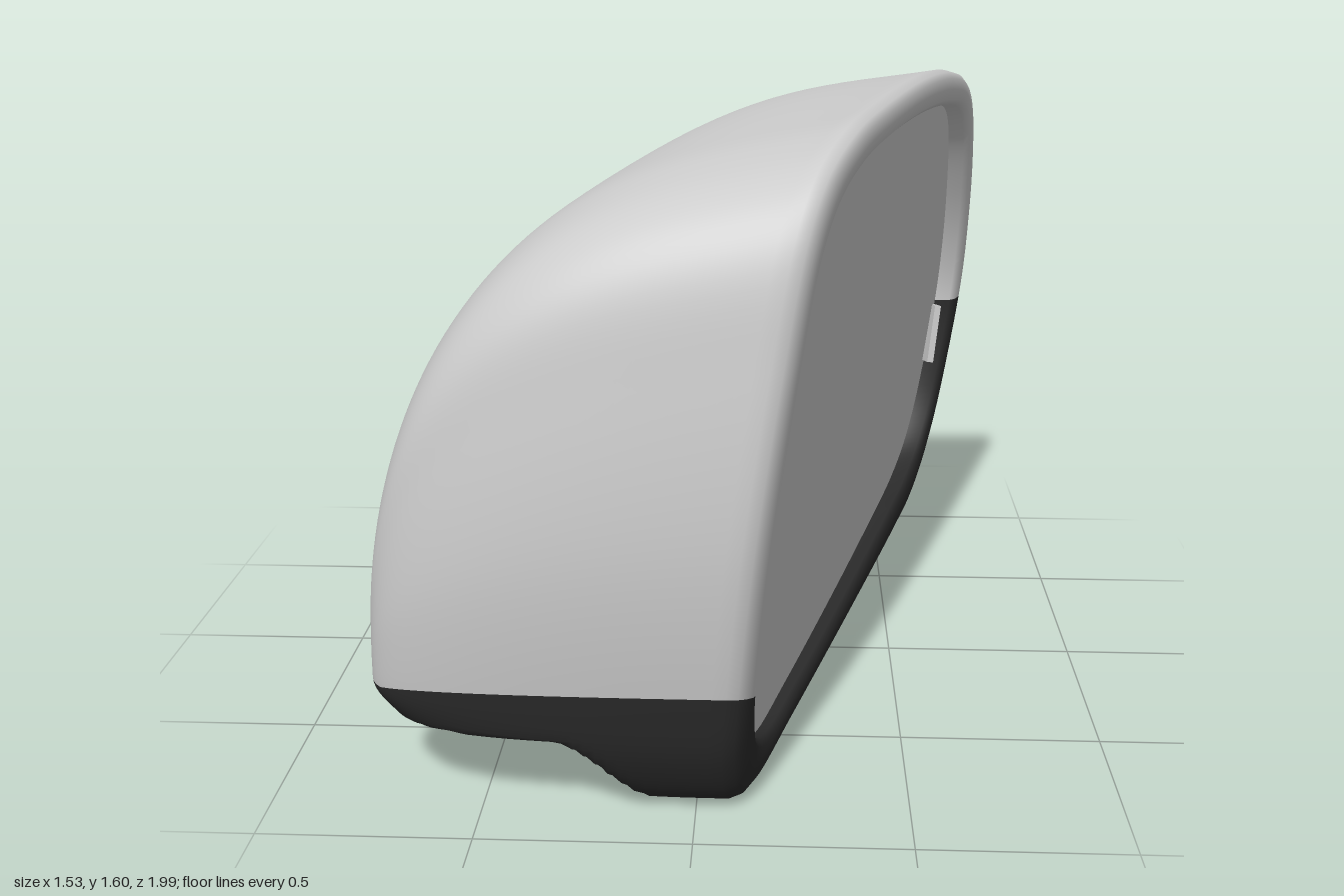
import * as THREE from 'three';
import { toCreasedNormals } from 'three/addons/utils/BufferGeometryUtils.js';

const N = 180, ROWS = 56;
const POLE = { x: -0.76, y: 0.3, z: 0.77 };

// Rim outline: outer z, outer y, inner (glass) z, inner y
const RIM = [
  [0.97, 0.35, 0.875, 0.38], [1.0, 0.7, 0.895, 0.7], [0.97, 1.1, 0.87, 1.1], [0.92, 1.37, 0.83, 1.31],
  [0.83, 1.49, 0.75, 1.41], [0.65, 1.56, 0.6, 1.47], [0.4, 1.59, 0.35, 1.5], [0, 1.605, 0, 1.51],
  [-0.3, 1.585, -0.3, 1.49], [-0.5, 1.54, -0.5, 1.45], [-0.65, 1.45, -0.61, 1.37], [-0.8, 1.27, -0.74, 1.17],
  [-0.9, 1.07, -0.82, 0.98], [-0.96, 0.87, -0.85, 0.82], [-0.94, 0.65, -0.83, 0.62], [-0.88, 0.42, -0.78, 0.46],
  [-0.8, 0.28, -0.7, 0.36], [-0.68, 0.19, -0.57, 0.295], [-0.5, 0.15, -0.42, 0.26], [0, 0.085, 0, 0.185],
  [0.5, 0.03, 0.45, 0.125], [0.77, 0.003, 0.68, 0.11], [0.85, 0.03, 0.79, 0.16], [0.93, 0.16, 0.85, 0.27],
];
const loop = (a, b) => new THREE.CatmullRomCurve3(RIM.map(p => new THREE.Vector3(0, p[b], p[a])), true);
const outer = loop(0, 1), inner = loop(2, 3);

const { lerp, smoothstep } = THREE.MathUtils;

// Leaning planes of the rim and of the recessed glass
const faceX = (y, z) => 0.48 - 0.31 * z + 0.12 * (y - 0.9);
const glassX = (y, z) => faceX(y, z) - 0.048 + 0.0145 * z;

// Piecewise linear height along z
const heightAt = pts => z => {
  let i = 1;
  while (i < pts.length - 1 && z > pts[i][0]) i++;
  const [z0, y0] = pts[i - 1], [z1, y1] = pts[i];
  return y0 + (y1 - y0) * (z - z0) / (z1 - z0);
};
const upperSeam = heightAt([[-2, 0.94], [-0.07, 0.92], [0.6, 0.3], [0.85, 0.3], [1, 0.36]]);
const lowerSeam = heightAt([[-2, 0.82], [-0.22, 0.79], [0.25, 0.32], [0.6, 0.3], [0.85, 0.3], [1, 0.36]]);

// Shell: rounded lip, then every rim point runs back to one low corner
function shellGeometry() {
  const pos = [], idx = [];
  const lip = [[1, -0.015], [0.85, 0], [0.55, 0.004], [0.25, -0.002], [0.08, -0.015]];
  for (let i = 0; i < N; i++) {
    const p = inner.getPoint(i / N);
    pos.push(glassX(p.y, p.z) - 0.01, p.y, p.z);
  }
  for (const [w, dx] of lip) {
    for (let i = 0; i < N; i++) {
      const p = outer.getPoint(i / N).lerp(inner.getPoint(i / N), w);
      pos.push(faceX(p.y, p.z) + dx, p.y, p.z);
    }
  }
  for (let r = 0; r <= ROWS; r++) {
    const g = 1 - Math.pow(1 - r / ROWS, 2.2);
    for (let i = 0; i < N; i++) {
      const p = outer.getPoint(i / N);
      const dz = p.z - POLE.z, dy = p.y - POLE.y, l2 = dz * dz + dy * dy;
      const away = dz * dz / l2, up = dy * dy / l2;
      // fullness by direction: boxy at the near wall, leaner towards the far end
      const b = away * (dz < 0 ? 1 : 0.4) + up * (dy > 0 ? 0.46 : 0.7)
        + (dz < 0 && dy > 0 ? 0.7 * away * up : 0);
      const f = Math.pow(Math.max(0, 1 - g ** 3), b);
      // the roof slopes down behind the rim
      const drop = dy > 0 ? 0.066 * (1 - Math.exp(-4 * g)) * up : 0;
      const x = lerp(faceX(p.y, p.z) - 0.04, POLE.x, g);
      const z = POLE.z + dz * f;
      // arched undercut where the mounting arm meets the base
      const arch = 0.215 * smoothstep(-x, 0.06, 0.32) * smoothstep(z, 0.6, 0.72);
      pos.push(x, Math.max(POLE.y + dy * f * (1 - drop), arch), z);
    }
  }
  const rows = lip.length + 1 + ROWS;
  for (let r = 0; r < rows; r++) {
    for (let i = 0; i < N; i++) {
      const a = r * N + i, b = r * N + (i + 1) % N;
      idx.push(a, b, a + N, b, b + N, a + N);
    }
  }
  const geo = new THREE.BufferGeometry();
  geo.setAttribute('position', new THREE.Float32BufferAttribute(pos, 3));
  geo.setIndex(idx);
  geo.computeVertexNormals();
  return geo;
}

// Keeps the part of the shell where every test is positive, raised along its normal
function cutShell(shell, tests, raise = () => 0) {
  const P = shell.attributes.position, M = shell.attributes.normal, I = shell.index;
  const pos = [], nor = [];
  const vert = k => [P.getX(k), P.getY(k), P.getZ(k), M.getX(k), M.getY(k), M.getZ(k)];
  for (let t = 0; t < I.count; t += 3) {
    let poly = [0, 1, 2].map(k => vert(I.getX(t + k)));
    for (const test of tests) {
      const out = [];
      poly.forEach((a, k) => {
        const b = poly[(k + 1) % poly.length], fa = test(...a), fb = test(...b);
        if (fa >= 0) out.push(a);
        if ((fa >= 0) !== (fb >= 0)) out.push(a.map((v, j) => v + (b[j] - v) * fa / (fa - fb)));
      });
      poly = out;
    }
    for (let k = 1; k < poly.length - 1; k++) {
      for (const v of [poly[0], poly[k], poly[k + 1]]) {
        const h = raise(...v);
        pos.push(v[0] + v[3] * h, v[1] + v[4] * h, v[2] + v[5] * h);
        nor.push(v[3], v[4], v[5]);
      }
    }
  }
  const geo = new THREE.BufferGeometry();
  geo.setAttribute('position', new THREE.Float32BufferAttribute(pos, 3));
  geo.setAttribute('normal', new THREE.Float32BufferAttribute(nor, 3));
  return geo;
}

// Flat pane filling the inner outline
function glassGeometry() {
  const pos = [], idx = [];
  const add = (y, z) => pos.push(glassX(y, z), y, z);
  add(0.8, 0.05);
  for (let i = 0; i < N; i++) {
    const p = inner.getPoint(i / N);
    add(p.y, p.z);
    idx.push(0, 1 + (i + 1) % N, 1 + i);
  }
  const geo = new THREE.BufferGeometry();
  geo.setAttribute('position', new THREE.Float32BufferAttribute(pos, 3));
  geo.setIndex(idx);
  geo.computeVertexNormals();
  return geo;
}

// Lens laid over the back of the shell, thinning towards both ends
function signalGeometry(shell) {
  const target = new THREE.Mesh(shell, new THREE.MeshBasicMaterial());
  const ray = new THREE.Raycaster();
  const pos = [], idx = [];
  const us = [0, 0.02], vs = [0, 0.14, 0.3, 0.5, 0.7, 0.88, 1];
  for (let i = 1; i <= 24; i++) us.push(0.02 + 0.96 * i / 24);
  us.push(1);
  us.forEach((u, i) => vs.forEach((v, j) => {
    const x = lerp(0.69, lerp(-0.42, -0.39, v), u);
    const y = lerp(0.53 + 0.13 * Math.max(0, x - 0.2), 0.75, v);
    ray.set(new THREE.Vector3(x, y, -3), new THREE.Vector3(0, 0, 1));
    const hit = ray.intersectObject(target)[0];
    const border = i === 0 || i === us.length - 1 || j === 0 || j === vs.length - 1;
    const height = lerp(0.052, 0.022, u) * smoothstep(u, -0.1, 0.18);
    const p = hit.point.addScaledVector(hit.face.normal, border ? 0 : height);
    pos.push(p.x, p.y, p.z);
  }));
  const n = vs.length;
  for (let i = 0; i < us.length - 1; i++) {
    for (let j = 0; j < n - 1; j++) {
      const a = i * n + j;
      idx.push(a, a + n, a + 1, a + n, a + n + 1, a + 1);
    }
  }
  const geo = new THREE.BufferGeometry();
  geo.setAttribute('position', new THREE.Float32BufferAttribute(pos, 3));
  geo.setIndex(idx);
  return toCreasedNormals(geo, 0.6);
}

export function createModel() {
  const group = new THREE.Group();
  const grey = new THREE.MeshStandardMaterial({ color: 0xcccccc, side: THREE.DoubleSide });
  const black = new THREE.MeshStandardMaterial({ color: 0x2a2a2a, side: THREE.DoubleSide });
  const add = (name, geo, mat) => {
    const mesh = new THREE.Mesh(geo, mat);
    mesh.name = name;
    group.add(mesh);
    return mesh;
  };
  const shell = shellGeometry();

  // Housing split along its two seams, the lower parts slightly proud at the back
  const proud = (x, y, z) => 0.012 * smoothstep(faceX(y, z) - x, 0.1, 0.3) * smoothstep(y, 0.1, 0.28) * smoothstep(-z, -0.8, -0.5);
  add('upperCap', cutShell(shell, [(x, y, z) => y - upperSeam(z)]), grey);
  add('trimStrip', cutShell(shell, [(x, y, z) => upperSeam(z) - y, (x, y, z) => y - lowerSeam(z)], proud), grey);
  add('lowerBase', cutShell(shell, [(x, y, z) => lowerSeam(z) - y], proud), black);
  add('mirrorGlass', glassGeometry(), grey);
  add('turnSignal', signalGeometry(shell), grey);

  // Small light at the inner edge of the rim
  const light = add('rimLight', new THREE.BoxGeometry(0.02, 0.18, 0.045), grey);
  light.position.set(0.66, 0.705, -0.8);
  light.rotation.set(-0.12, 0.3, -0.12);
  return group;
}
